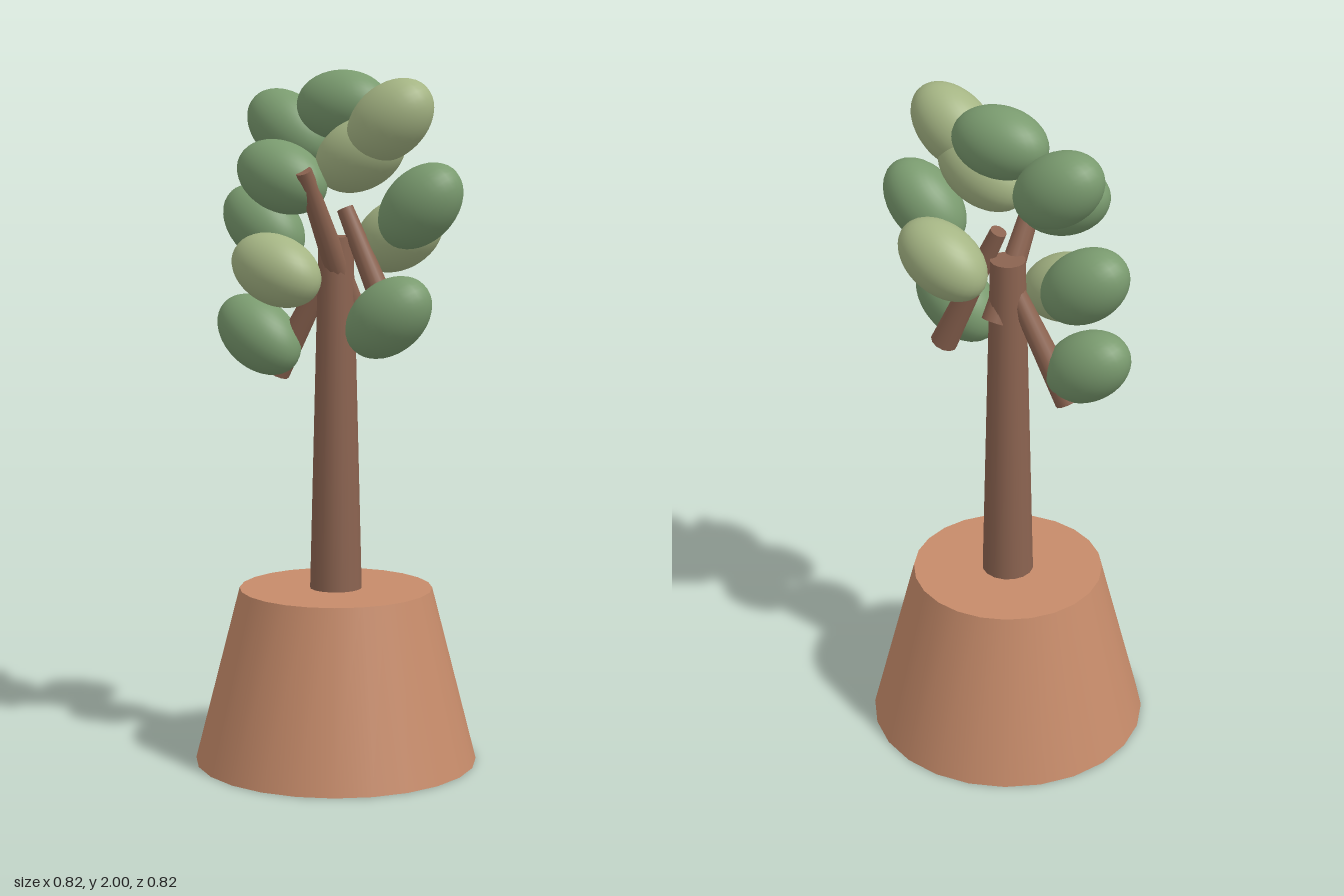
import * as THREE from 'three';

const paint = (color) => new THREE.MeshStandardMaterial({ color });

export function createModel() {
  const tree = new THREE.Group();
  tree.name = 'pottedTree';
  const clay = paint(0xc68b6a);
  const bark = paint(0x8b6350);
  const darkGreen = paint(0x7a9b6f);
  const lightGreen = paint(0xa5b584);

  const add = (name, geometry, material) => {
    const mesh = new THREE.Mesh(geometry, material);
    mesh.name = name;
    tree.add(mesh);
    return mesh;
  };

  // Tapered pot, narrower at the top
  add('pot', new THREE.CylinderGeometry(0.28, 0.41, 0.51, 24), clay).position.y = 0.255;

  // Trunk
  add('trunk', new THREE.CylinderGeometry(0.05, 0.076, 1.03, 16), bark).position.y = 1.015;

  // Branches: thick lower end to thin upper end
  const up = new THREE.Vector3(0, 1, 0);
  const branch = (name, low, high) => {
    const a = new THREE.Vector3(...low);
    const b = new THREE.Vector3(...high);
    const dir = b.clone().sub(a);
    const mesh = add(name, new THREE.CylinderGeometry(0.024, 0.04, dir.length(), 12), bark);
    mesh.position.copy(a).add(b).multiplyScalar(0.5);
    mesh.quaternion.setFromUnitVectors(up, dir.normalize());
  };
  branch('leftBranch', [0.205, 1.22, -0.015], [0.03, 1.61, 0]);
  branch('rightBranch', [-0.195, 1.13, 0.01], [0.01, 1.5, 0]);
  branch('frontBranch', [0.02, 1.345, -0.035], [-0.01, 1.72, 0.16]);

  // Foliage: one ellipsoid, tilted outward; [x, y, z, tilt in degrees, material]
  const leafShape = new THREE.SphereGeometry(1, 32, 20).scale(0.143, 0.1, 0.095);
  const leaves = [
    [0, 1.9, -0.04, 0, darkGreen],
    [-0.21, 1.83, -0.087, -35, darkGreen],
    [0.21, 1.86, 0.06, 38, lightGreen],
    [0.1, 1.765, 0.035, 25, lightGreen],
    [-0.115, 1.7, 0.105, -20, darkGreen],
    [-0.28, 1.55, -0.06, -38, darkGreen],
    [-0.135, 1.435, 0.105, -20, lightGreen],
    [-0.235, 1.24, 0.04, -35, darkGreen],
    [0.215, 1.315, 0.075, 38, darkGreen],
    [0.285, 1.625, 0.02, 43, darkGreen],
    [0.15, 1.535, -0.1, 28, lightGreen],
  ];
  leaves.forEach(([x, y, z, tilt, material], i) => {
    const leaf = add(`foliage${i + 1}`, leafShape, material);
    leaf.position.set(x, y, z);
    leaf.rotation.z = THREE.MathUtils.degToRad(tilt);
  });

  return tree;
}
